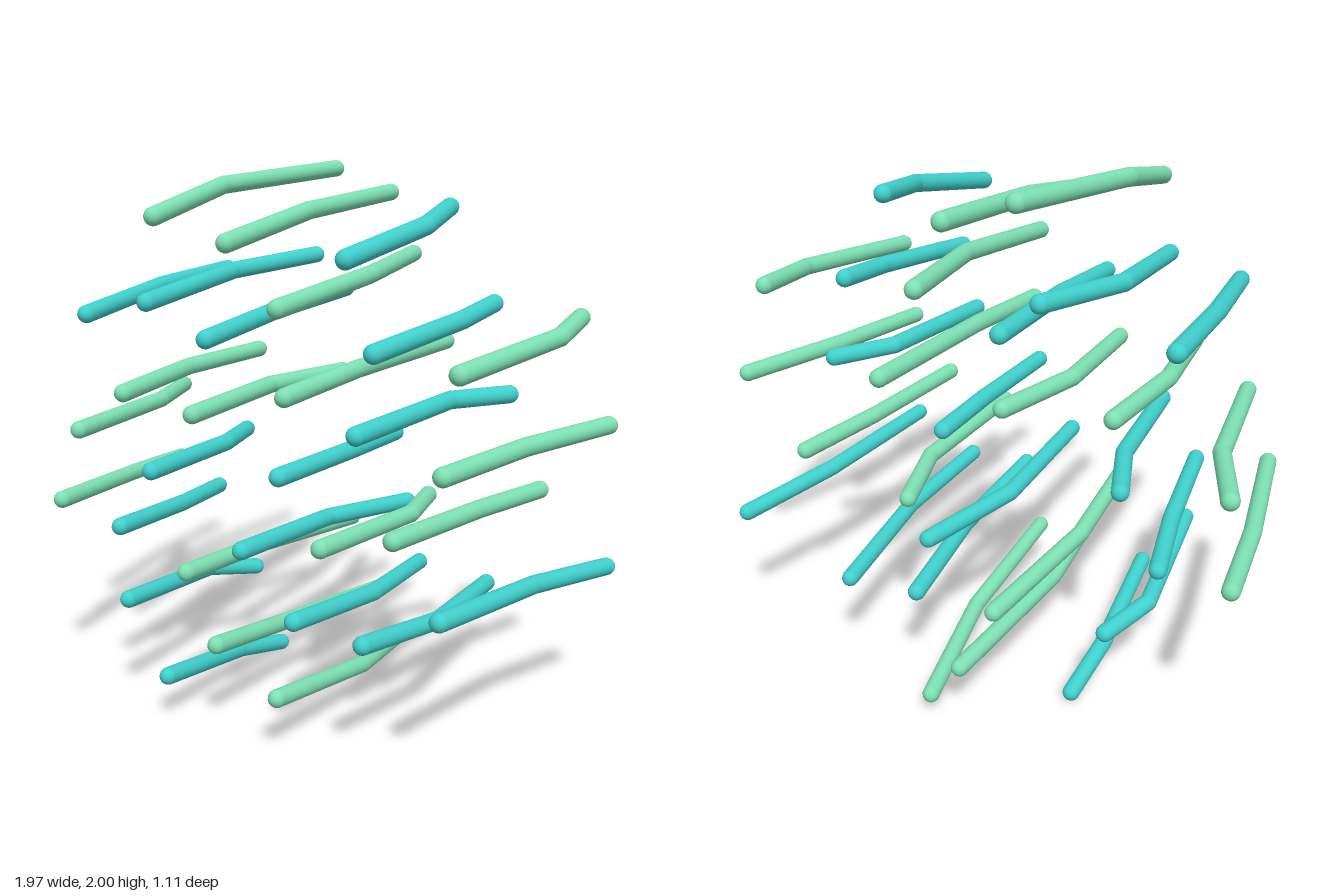
import * as THREE from 'three';

const RADIUS = 0.032;
const CENTRE_Y = 1;
const FRONT_Z = 0.52;
const FLARE = 1.11; // elbows sit radially outside the front tips

// Front tip x, y and back tip x, y, in spiral order from the centre outwards
const RODS = [
  [0.155, 1.01, 0.17, 1.01], [-0.195, 1.175, -0.125, 1.2], [0, 0.73, 0.12, 0.68],
  [0.18, 1.275, 0.225, 1.32], [-0.385, 0.95, -0.52, 0.935], [0.315, 0.795, 0.265, 0.755],
  [-0.13, 1.435, -0.17, 1.51], [-0.24, 0.605, -0.195, 0.53], [0.445, 1.185, 0.625, 1.205],
  [-0.5, 1.215, -0.525, 1.25], [0.21, 0.52, 0.18, 0.435], [0.155, 1.555, 0.075, 1.65],
  [-0.54, 0.72, -0.67, 0.67], [0.58, 0.87, 0.715, 0.845], [-0.38, 1.54, -0.31, 1.635],
  [-0.115, 0.36, -0.055, 0.245], [0.505, 1.445, 0.555, 1.52], [-0.72, 1.055, -0.925, 1.06],
  [0.475, 0.5, 0.475, 0.405], [-0.04, 1.75, -0.03, 1.88], [-0.515, 0.445, -0.485, 0.345],
  [0.745, 1.1, 0.955, 1.115], [-0.655, 1.48, -0.755, 1.56], [0.14, 0.225, 0.07, 0.08],
  [0.405, 1.72, 0.375, 1.845], [-0.825, 0.775, -0.955, 0.735], [0.745, 0.64, 0.945, 0.565],
  [-0.335, 1.825, -0.28, 1.968], [-0.34, 0.185, -0.36, 0.032], [0.79, 1.41, 0.835, 1.48],
];

const UP = new THREE.Vector3(0, 1, 0);
const ball = new THREE.SphereGeometry(RADIUS, 16, 12);

function addBall(parent, name, position, material) {
  const mesh = new THREE.Mesh(ball, material);
  mesh.name = name;
  mesh.position.copy(position);
  parent.add(mesh);
}

function addTube(parent, name, a, b, material) {
  const dir = b.clone().sub(a);
  const geometry = new THREE.CylinderGeometry(RADIUS, RADIUS, dir.length(), 16, 1, true);
  const mesh = new THREE.Mesh(geometry, material);
  mesh.name = name;
  mesh.position.copy(a).add(b).multiplyScalar(0.5);
  mesh.quaternion.setFromUnitVectors(UP, dir.normalize());
  parent.add(mesh);
}

export function createModel() {
  const model = new THREE.Group();
  model.name = 'rodCluster';
  const teal = new THREE.MeshStandardMaterial({ color: 0x40d0cc });
  const green = new THREE.MeshStandardMaterial({ color: 0x7de0b4 });

  RODS.forEach(([fx, fy, bx, by], i) => {
    const material = i % 2 ? green : teal;
    // Elbow depth repeats every three rods, back depth every four
    const elbowZ = 0.09 - 0.06 * (i % 3);
    const backZ = -0.23 - 0.1 * (i % 4);
    const front = new THREE.Vector3(fx, fy, FRONT_Z);
    const elbow = new THREE.Vector3(fx * FLARE, CENTRE_Y + (fy - CENTRE_Y) * FLARE, elbowZ);
    const back = new THREE.Vector3(bx, by, backZ);

    const rod = new THREE.Group();
    rod.name = `bentRod${i + 1}`;
    addTube(rod, 'frontSegment', front, elbow, material);
    addTube(rod, 'backSegment', elbow, back, material);
    addBall(rod, 'frontCap', front, material);
    addBall(rod, 'elbowJoint', elbow, material);
    addBall(rod, 'backCap', back, material);
    model.add(rod);
  });
  return model;
}
